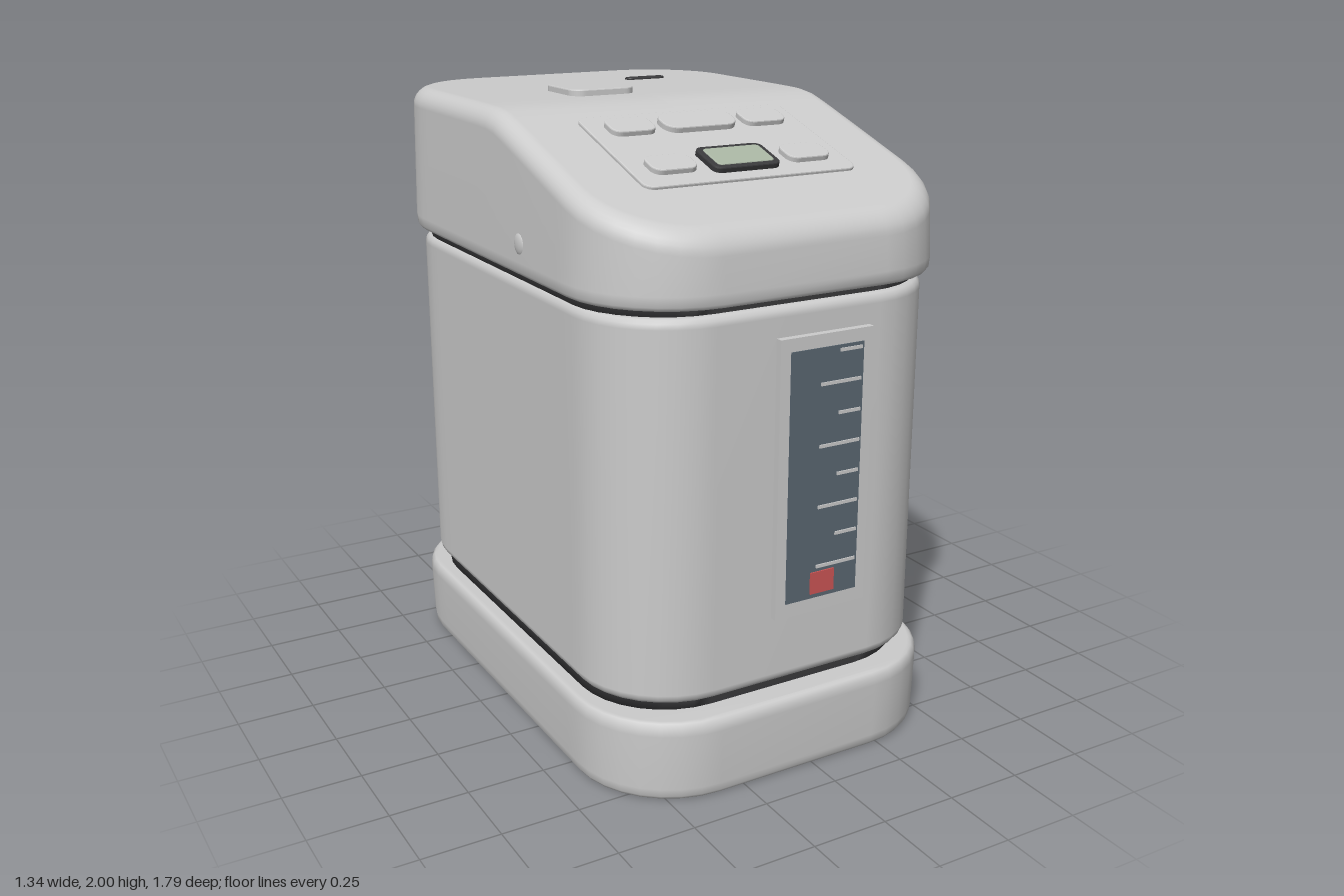
import * as THREE from 'three';

const CX = -0.06; // housing is offset so the side knob balances it
const mat = (color, extra = {}) => new THREE.MeshStandardMaterial({ color, ...extra });

// Rounded-rectangle outline in x/z, with subdivided long sides
function outline(hx, hz, r) {
  const pts = [], corner = 8, side = 18;
  const centres = [[1, 1], [-1, 1], [-1, -1], [1, -1]];
  centres.forEach(([sx, sz], q) => {
    for (let i = 0; i <= corner; i++) {
      const a = (q + i / corner) * Math.PI / 2;
      pts.push([sx * (hx - r) + r * Math.cos(a), sz * (hz - r) + r * Math.sin(a)]);
    }
    if (q % 2) {
      const [x, z] = pts[pts.length - 1];
      for (let i = 1; i < side; i++) pts.push([x, z * (1 - 2 * i / side)]);
    }
  });
  // the other long side is the mirror image, closing the loop
  return pts;
}

// Loft of inset outlines; rows are [inset, height(z)], both ends closed onto the centre line
function loft(hx, hz, r, rows) {
  const rings = rows.map(([d, y]) => {
    const o = outline(hx - d, hz - d, r - d);
    return o.map(([x, z]) => [x, typeof y === 'function' ? y(z) : y, z]);
  });
  const flat = ring => ring.map(([, y, z]) => [0, y, z]);
  const all = [flat(rings[0]), ...rings, flat(rings[rings.length - 1])];
  const n = all[0].length, index = [];
  for (let i = 0; i < all.length - 1; i++) {
    for (let j = 0; j < n; j++) {
      const a = i * n + j, b = i * n + (j + 1) % n;
      index.push(a, a + n, b, b, a + n, b + n);
    }
  }
  const geo = new THREE.BufferGeometry();
  geo.setAttribute('position', new THREE.Float32BufferAttribute(all.flat(2), 3));
  geo.setIndex(index);
  geo.computeVertexNormals();
  return geo;
}

// Thin plate with rounded corners lying in the x/z plane, bottom at y = 0
function plate(w, d, r, h, bevel = 0.004) {
  const s = new THREE.Shape(), x = w / 2 - bevel, y = d / 2 - bevel;
  s.moveTo(-x + r, -y);
  s.lineTo(x - r, -y); s.absarc(x - r, -y + r, r, -Math.PI / 2, 0);
  s.lineTo(x, y - r); s.absarc(x - r, y - r, r, 0, Math.PI / 2);
  s.lineTo(-x + r, y); s.absarc(-x + r, y - r, r, Math.PI / 2, Math.PI);
  s.lineTo(-x, -y + r); s.absarc(-x + r, -y + r, r, Math.PI, Math.PI * 1.5);
  const geo = new THREE.ExtrudeGeometry(s, {
    depth: h - bevel, bevelThickness: bevel, bevelSize: bevel, bevelSegments: 2, curveSegments: 5,
  });
  return geo.rotateX(-Math.PI / 2);
}

// Lid surface: flat at the back, easing into a slope toward the front
const SLOPE = 0.323;
const lidTop = z => {
  const t = z - 0.04;
  return 1.98 - SLOPE * (t + Math.sqrt(t * t + 0.0015)) / 2;
};

export function createModel() {
  const model = new THREE.Group();
  model.name = 'waterDispenser';
  const grey = mat(0xcccccc), dark = mat(0x3a3a3c);
  const add = (name, geo, material, x, y, z, parent = model) => {
    const m = new THREE.Mesh(geo, material);
    m.name = name;
    m.position.set(x, y, z);
    parent.add(m);
    return m;
  };
  const box = (name, material, x0, x1, y0, y1, z0, z1) => add(name,
    new THREE.BoxGeometry(x1 - x0, y1 - y0, z1 - z0), material,
    (x0 + x1) / 2, (y0 + y1) / 2, (z0 + z1) / 2);

  // Housing: base, body and the recessed seams between the sections
  add('base', loft(0.61, 0.895, 0.33, [
    [0.03, 0], [0.018, 0.004], [0.01, 0.015], [0.006, 0.04], [0, 0.22], [0.004, 0.245], [0.014, 0.257], [0.026, 0.26],
  ]), grey, CX, 0, 0);
  add('lowerSeam', loft(0.555, 0.8, 0.29, [[0, 0.25], [0, 0.32]]), dark, CX, 0, 0);
  add('body', loft(0.58, 0.845, 0.3, [
    [0.025, 0.3], [0.013, 0.303], [0.004, 0.314], [0, 0.33], [0, 1.45], [0.004, 1.466], [0.013, 1.477], [0.025, 1.48],
  ]), grey, CX, 0, 0);
  add('upperSeam', loft(0.565, 0.815, 0.29, [[0, 1.46], [0, 1.53]]), dark, CX, 0, 0);

  // Lid: straight wall, then a fillet that follows the sloped top
  const lidRows = [[0.025, 1.505], [0.012, 1.508], [0.003, 1.52], [0, 1.55]];
  const R = 0.06;
  for (let i = 0; i <= 7; i++) {
    const a = i / 7 * Math.PI / 2;
    lidRows.push([0.008 + R * (1 - Math.cos(a)), z => lidTop(z) - R * (1 - Math.sin(a))]);
  }
  add('lid', loft(0.605, 0.877, 0.33, lidRows), grey, CX, 0, 0);

  // Lid fittings
  add('lidButton', plate(0.23, 0.23, 0.04, 0.035), grey, -0.18, 1.965, -0.235);
  add('steamVent', plate(0.15, 0.04, 0.015, 0.02), dark, 0.17, 1.967, -0.5);

  // Control panel lying on the slope
  const panel = new THREE.Group();
  panel.name = 'controlPanel';
  panel.position.set(-0.065, lidTop(0.378), 0.378);
  panel.rotation.x = Math.atan(SLOPE);
  model.add(panel);
  const k = Math.hypot(1, SLOPE); // stretches plan depths along the slope
  const onPanel = (name, material, x0, x1, z0, z1, r, y, h) => add(name,
    plate(x1 - x0, (z1 - z0) * k, r, h), material,
    (x0 + x1) / 2 + 0.065, y, ((z0 + z1) / 2 - 0.378) * k, panel);
  onPanel('panelPlate', grey, -0.43, 0.3, 0.155, 0.6, 0.03, -0.01, 0.02);
  for (const [z0, z1] of [[0.205, 0.295], [0.45, 0.54]]) {
    for (const x0 of [-0.37, 0.095]) onPanel('panelButton', grey, x0, x0 + 0.15, z0, z1, 0.028, 0.005, 0.022);
  }
  onPanel('wideButton', grey, -0.19, 0.065, 0.2, 0.3, 0.04, 0.005, 0.024);
  onPanel('displayFrame', dark, -0.18, 0.05, 0.425, 0.56, 0.022, 0.005, 0.022);
  onPanel('displayScreen', mat(0xa9b5a3), -0.162, 0.034, 0.442, 0.544, 0.01, 0.01, 0.02);

  // Water-level gauge
  box('gaugeFrame', grey, -0.145, 0.18, 0.52, 1.39, 0.82, 0.868);
  box('gaugeWindow', mat(0x5a6772), -0.11, 0.145, 0.565, 1.35, 0.83, 0.871);
  const markMat = mat(0xcccccc);
  for (let i = 0; i < 8; i++) {
    const y = 1.335 - i * 0.0955;
    box('gaugeMark', markMat, i % 2 ? -0.005 : 0.06, 0.137, y - 0.005, y + 0.005, 0.85, 0.875);
  }
  box('gaugeLowMark', mat(0xcc5555), -0.025, 0.06, 0.58, 0.65, 0.85, 0.876);

  // Side fittings: pivot knob, power socket and small pivot stud
  add('pivotKnob', new THREE.SphereGeometry(0.105, 24, 16), grey, 0.565, 1.605, 0);
  box('powerSocket', dark, 0.48, 0.57, 0.43, 0.66, -0.145, 0.145);
  const stud = add('pivotStud', new THREE.SphereGeometry(0.035, 16, 10), grey, -0.659, 1.605, 0.24);
  stud.scale.x = 0.32;
  return model;
}
